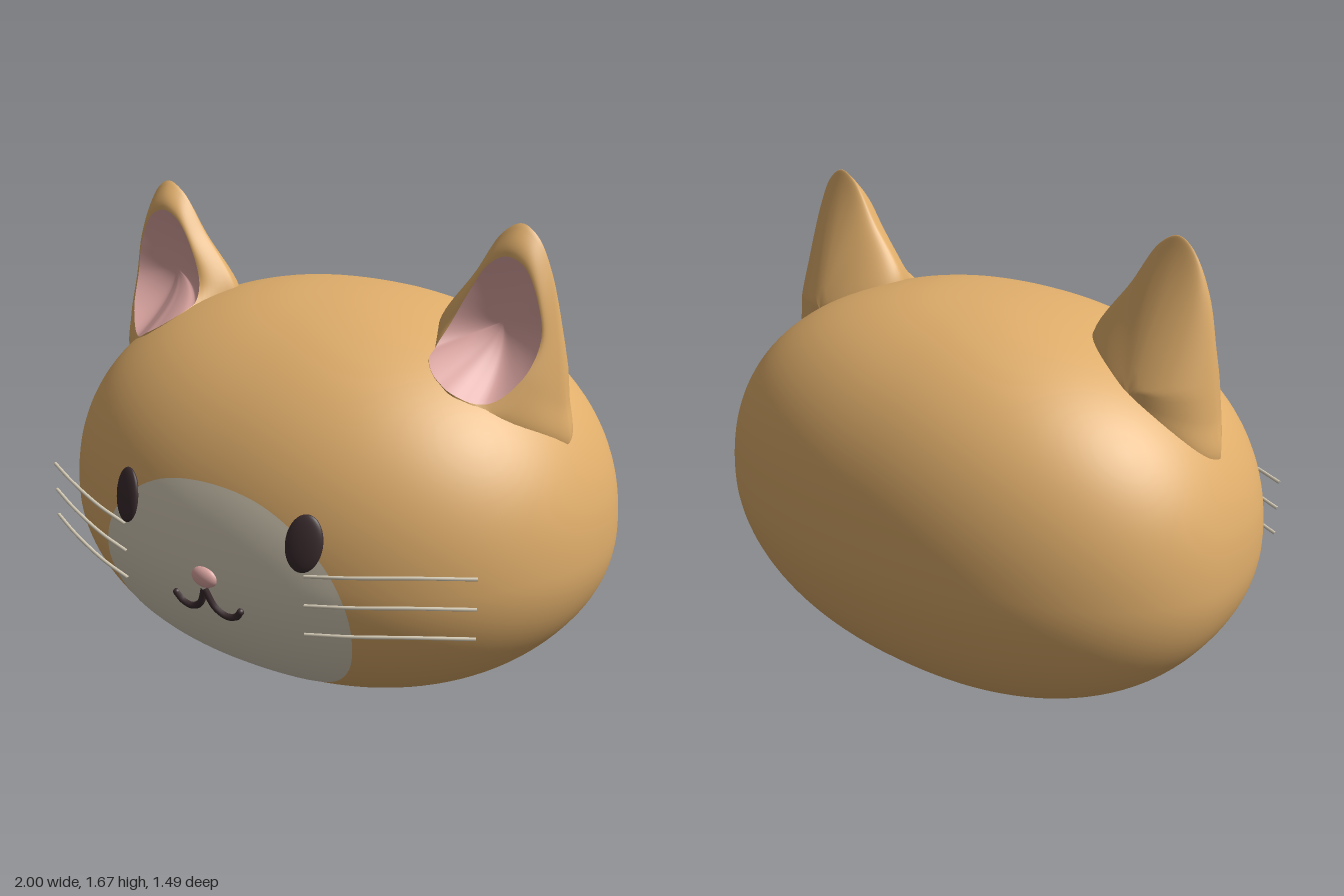
import * as THREE from 'three';
import { mergeVertices } from 'three/addons/utils/BufferGeometryUtils.js';

const mat = (name, color) => Object.assign(new THREE.MeshStandardMaterial({ color }), { name });

// Head proportions: superellipsoid, fuller on top and at the front
const P = 2.2, CY = 0.62, CZ = -0.08, TOP = 0.75, BOTTOM = 0.62, FRONT = 0.8, BACK = 0.66;
const heightPower = (v) => Math.pow(Math.abs(v), v > 0 ? P : 2);

// Front surface of the head at x, y (far behind where there is none)
function headZ(x, y) {
  const v = (y - CY) / (y > CY ? TOP : BOTTOM);
  const rest = 1 - Math.pow(Math.abs(x), P) - heightPower(v);
  return rest > 0 ? CZ + FRONT * Math.pow(rest, 1 / P) : -9;
}

function headGeometry() {
  let geo = new THREE.SphereGeometry(1, 112, 72);
  geo.deleteAttribute('uv');
  geo.deleteAttribute('normal');
  geo = mergeVertices(geo, 1e-5);
  const pos = geo.attributes.position;
  for (let i = 0; i < pos.count; i++) {
    const x = pos.getX(i), v = pos.getY(i), z = pos.getZ(i);
    const norm = Math.pow(Math.pow(Math.abs(x), P) + Math.pow(Math.abs(z), P), 1 / P) || 1;
    const r = Math.pow(Math.max(0, 1 - heightPower(v)), 1 / P) / norm;
    const back = Math.max(0, -z * r);
    const lift = 0.05 * back * back;
    pos.setXYZ(i, x * r, CY + v * (v > 0 ? TOP : BOTTOM) + lift, CZ + z * r * (z > 0 ? FRONT : BACK));
  }
  geo.computeVertexNormals();
  return geo;
}

// Skin joining closed rings of points; side -1 mirrors it in x
function ringSkin(rings, side = 1) {
  const n = rings[0].length, index = [];
  const verts = rings.flat().flatMap(([x, y, z]) => [x * side, y, z]);
  for (let i = 0; i < rings.length - 1; i++) {
    for (let j = 0; j < n; j++) {
      const a = i * n + j, b = i * n + (j + 1) % n, c = a + n, d = b + n;
      if (side > 0) index.push(a, b, c, b, d, c);
      else index.push(a, c, b, b, c, d);
    }
  }
  const geo = new THREE.BufferGeometry();
  geo.setAttribute('position', new THREE.Float32BufferAttribute(verts, 3));
  geo.setIndex(index);
  geo.computeVertexNormals();
  return geo;
}

// Smooth closed loop through a few points
function loop(points, n) {
  const curve = new THREE.CatmullRomCurve3(points.map((p) => new THREE.Vector3(...p)), true);
  return Array.from({ length: n }, (_, i) => curve.getPoint(i / n).toArray());
}

const mix = THREE.MathUtils.lerp;
const steps = (n, fn) => Array.from({ length: n + 1 }, (_, i) => fn(i / n));

// Ear: silhouette x, y and the matching rim of the inner ear x, y, z
const EAR = [
  [0.70, 1.67, 0.68, 1.575, 0.055], [0.755, 1.635, 0.74, 1.55, 0.055],
  [0.805, 1.53, 0.79, 1.45, 0.055], [0.848, 1.33, 0.81, 1.33, 0.06],
  [0.875, 1.12, 0.785, 1.22, 0.12], [0.885, 0.97, 0.705, 1.145, 0.2],
  [0.70, 0.90, 0.60, 1.185, 0.26], [0.50, 1.0, 0.52, 1.235, 0.21],
  [0.42, 1.20, 0.487, 1.275, 0.14], [0.42, 1.32, 0.505, 1.34, 0.085],
  [0.545, 1.50, 0.56, 1.455, 0.06], [0.635, 1.635, 0.62, 1.545, 0.055],
];

function earGeometries(side) {
  const n = 96;
  const edge = loop(EAR.map(([x, y]) => [x, y, 0]), n);
  const rim = loop(EAR.map(([, , x, y, z]) => [x, y, z]), n)
    .map(([x, y, z]) => [x, y, Math.max(z, headZ(x, y) + 0.006)]);
  // Hollow of the ear
  const inner = steps(20, (t) => rim.map(([x, y, z]) => {
    const px = mix(0.66, x, t), py = mix(1.36, y, t);
    return [px, py, Math.max(mix(0.02, z, t * t), headZ(px, py) + 0.006)];
  }));
  // Front border, from the hollow out to the silhouette
  const border = steps(8, (t) => rim.map(([x, y, z], j) =>
    [mix(x, edge[j][0], t), mix(y, edge[j][1], t), z * Math.cos(t * Math.PI / 2)]));
  // Rounded back, thinner towards the tip
  const back = steps(18, (u) => edge.map(([x, y]) => {
    const t = 1 - Math.cos(u * Math.PI / 2);
    const py = mix(y, 1.2, t);
    const depth = 0.18 * THREE.MathUtils.clamp((1.72 - py) / 0.5, 0, 1);
    return [mix(x, 0.66, t), py, -depth * Math.sin(u * Math.PI / 2)];
  })).slice(1);
  return { inner: ringSkin(inner, side), outer: ringSkin([...border, ...back], side) };
}

function tube(points, radius, segments) {
  const curve = new THREE.CatmullRomCurve3(points.map((p) => new THREE.Vector3(...p)));
  return new THREE.TubeGeometry(curve, segments, radius, 8);
}

export function createModel() {
  const fur = mat('tan fur', 0xe0ae6b);
  const cream = mat('cream', 0xdad0bb);
  const pink = mat('pink', 0xe0a9a5);
  const dark = mat('dark brown', 0x3a2b2e);
  const model = new THREE.Group();
  model.name = 'catHead';
  const add = (name, geo, material) => {
    const mesh = new THREE.Mesh(geo, material);
    mesh.name = name;
    model.add(mesh);
    return mesh;
  };

  add('head', headGeometry(), fur);

  // Muzzle patch lying on the face
  const half = [[0.2, 0.86], [0.36, 0.765], [0.455, 0.64], [0.49, 0.5], [0.45, 0.33], [0.33, 0.195], [0.17, 0.137]];
  const outline = loop([[0, 0.89], ...half, [0, 0.13], ...half.slice().reverse().map(([x, y]) => [-x, y])]
    .map(([x, y]) => [x, y, 0]), 96);
  add('muzzle', ringSkin(steps(24, (t) => outline.map(([x, y]) => {
    const px = x * t, py = mix(0.5, y, t);
    return [px, py, headZ(px, py) + 0.004];
  }))), cream);

  // Nose
  const ball = new THREE.SphereGeometry(1, 32, 20);
  const nose = add('nose', ball, pink);
  nose.scale.set(0.05, 0.036, 0.025);
  nose.position.set(0, 0.583, 0.72);

  // Mouth with two curls
  const lip = [[0.13, 0.49], [0.108, 0.464], [0.07, 0.455], [0.03, 0.48], [0, 0.545]];
  for (const side of [1, -1]) {
    const label = side > 0 ? 'left' : 'right';
    add(label + 'Mouth', tube(lip.map(([x, y]) => [x * side, y, headZ(x, y) + 0.008]), 0.012, 32), dark);
    const corner = add(label + 'MouthEnd', ball, dark);
    corner.scale.setScalar(0.012);
    corner.position.set(0.13 * side, 0.49, headZ(0.13, 0.49) + 0.008);

    // Ears
    const ear = earGeometries(side);
    add(label + 'Ear', ear.outer, fur);
    add(label + 'InnerEar', ear.inner, pink);

    // Eyes
    const eye = add(label + 'Eye', ball, dark);
    eye.scale.set(0.06, 0.092, 0.02);
    eye.position.set(0.353 * side, 0.768, headZ(0.353, 0.768) + 0.003);
    eye.rotation.set(-0.2, 0.3 * side, -0.06 * side);

    // Whiskers
    [0.665, 0.566, 0.468].forEach((y, i) => {
      const path = [[0.36, y, 0.685], [0.5, y + 0.02, 0.655], [0.69, y + 0.042, 0.585], [0.855, y + 0.049, 0.5]];
      add(label + 'Whisker' + (i + 1), tube(path.map(([x, h, z]) => [x * side, h, z]), 0.006, 24), cream);
    });
  }
  return model;
}
